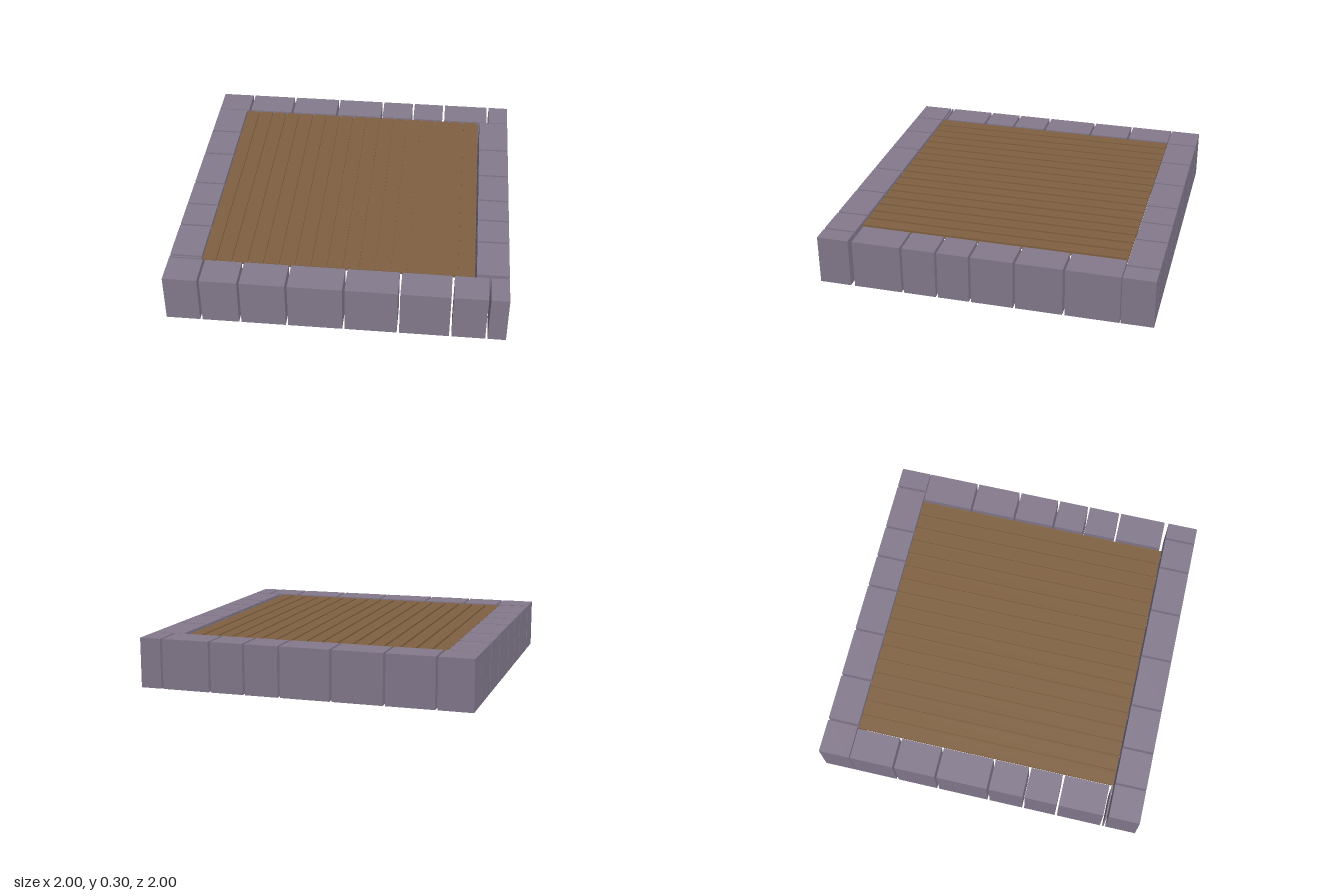
import * as THREE from 'three';

const stone = new THREE.MeshStandardMaterial({ color: 0x847a8d });
stone.name = 'stone';
const wood = new THREE.MeshStandardMaterial({ color: 0x806141 });
wood.name = 'wood';

const HEIGHT = 0.3, WIDTH = 0.19, GAP = 0.014;

// Box given by its minimum and maximum corners
function box(name, material, x0, x1, y0, y1, z0, z1) {
  const mesh = new THREE.Mesh(new THREE.BoxGeometry(x1 - x0, y1 - y0, z1 - z0), material);
  mesh.position.set((x0 + x1) / 2, (y0 + y1) / 2, (z0 + z1) / 2);
  mesh.name = name;
  return mesh;
}

// Row of blocks from start to end, split at the joints; side is the outer edge (-1 or 1)
function stoneRow(name, axis, side, start, end, joints) {
  const row = new THREE.Group();
  row.name = name;
  const a = side < 0 ? -1 : 1 - WIDTH, b = a + WIDTH;
  const cuts = [start - GAP / 2, ...joints, end + GAP / 2];
  for (let i = 0; i < cuts.length - 1; i++) {
    const p = cuts[i] + GAP / 2, q = cuts[i + 1] - GAP / 2;
    row.add(axis === 'x'
      ? box('stoneBlock', stone, p, q, 0, HEIGHT, a, b)
      : box('stoneBlock', stone, a, b, 0, HEIGHT, p, q));
  }
  return row;
}

export function createModel() {
  const model = new THREE.Group();
  model.name = 'stoneEdgedDeck';

  // Stone border
  model.add(
    stoneRow('backStones', 'x', -1, -1, 1, [-0.79, -0.492, -0.179, 0.132, 0.347, 0.56, 0.865]),
    stoneRow('frontStones', 'x', 1, -1, 1, [-0.791, -0.558, -0.28, 0.053, 0.372, 0.677, 0.887]),
    stoneRow('rightStones', 'z', -1, -0.804, 0.8, [-0.53, -0.265, 0.062, 0.285, 0.495, 0.784]),
    stoneRow('leftStones', 'z', 1, -0.804, 0.784, [-0.48, -0.19, 0.073, 0.275, 0.485])
  );

  // Deck board under the planks
  model.add(box('deckBase', wood, -0.803, 0.8, 0.278, 0.284, -0.804, 0.8));

  // Planks with narrow grooves between them
  const planks = new THREE.Group();
  planks.name = 'planks';
  const pitch = 0.094;
  for (let i = 0; i < 17; i++) {
    const x = -0.803 + i * pitch;
    planks.add(box('plank', wood, x, x + pitch - GAP, 0.284, 0.295, -0.804, 0.8));
  }
  model.add(planks);
  return model;
}
